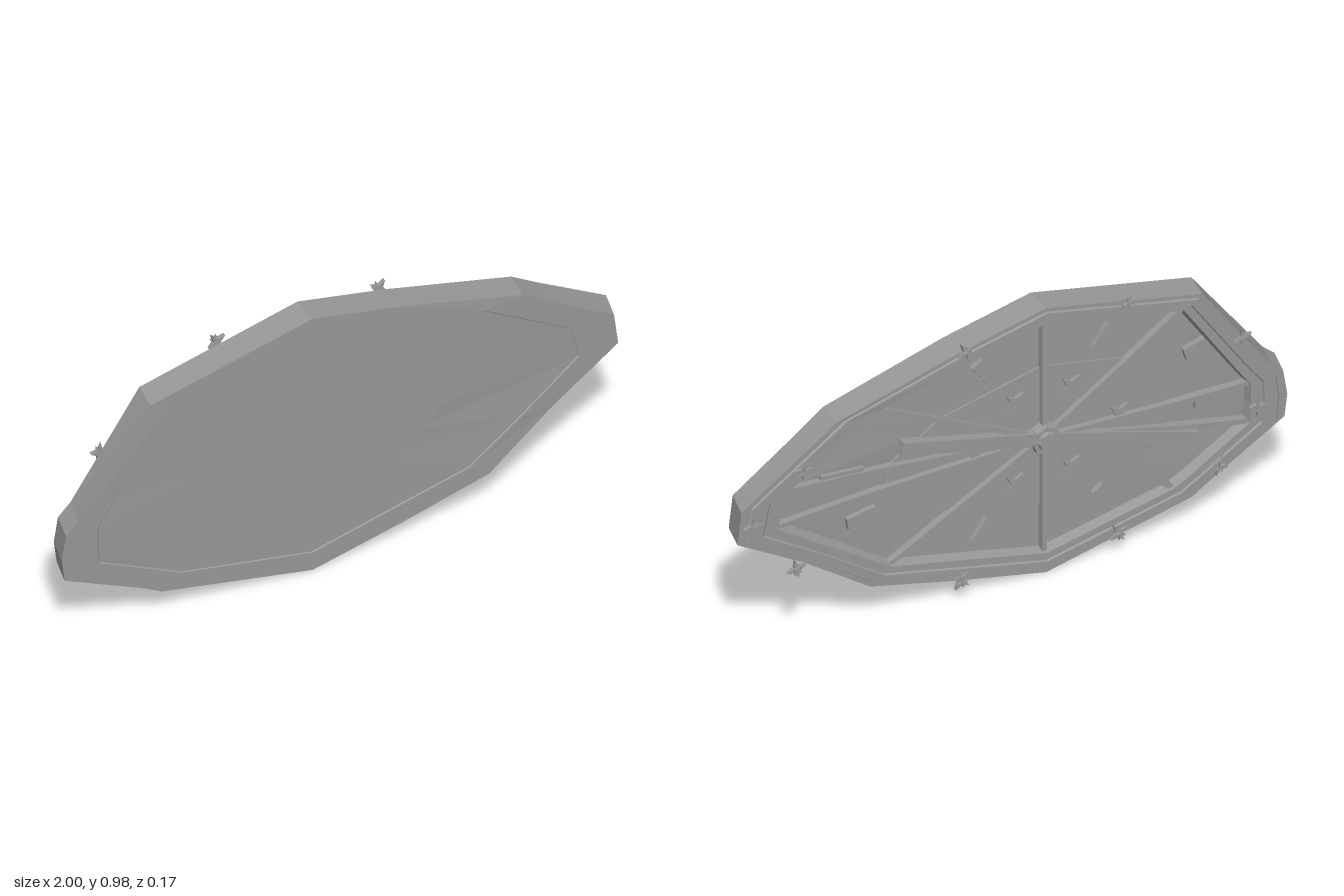
import * as THREE from 'three';

const HUB = [-0.11, 0.49];
// clockwise pairs: outer rim x, y and matching inner panel edge x, y
const EDGE = [
  [-0.11, 0.98, -0.11, 0.92], [0.20, 0.915, 0.19, 0.855], [0.63, 0.80, 0.49, 0.79],
  [0.72, 0.74, 0.58, 0.735], [0.96, 0.59, 0.80, 0.60], [0.975, 0.475, 0.83, 0.48],
  [0.74, 0.325, 0.63, 0.335], [0.51, 0.15, 0.44, 0.20], [0.20, 0.07, 0.16, 0.135],
  [-0.11, 0, -0.11, 0.07], [-0.64, 0.11, -0.57, 0.16], [-0.71, 0.15, -0.65, 0.20],
  [-0.99, 0.29, -0.86, 0.31], [-1.0, 0.37, -0.866, 0.38], [-0.985, 0.46, -0.865, 0.45],
  [-0.94, 0.50, -0.80, 0.54], [-0.68, 0.85, -0.61, 0.81],
];
const CORNERS = [0, 2, 4, 5, 7, 9, 10, 12, 14, 16];

// depth of the front surface along the width
const CURVE = [[-1.1, 0.09], [-1, 0.085], [-0.68, 0.067], [-0.11, 0.063], [0.51, 0.06], [0.63, 0.055], [0.97, 0.035], [1.1, 0.027]];
function frontZ(x) {
  for (let i = 1; i < CURVE.length; i++) {
    const [x0, z0] = CURVE[i - 1], [x1, z1] = CURVE[i];
    if (x <= x1) return z0 + (z1 - z0) * (x - x0) / (x1 - x0);
  }
  return 0.03;
}

// bends a flat part (front at z = 0, back at z = -0.1) along the curve
function bend(geometry) {
  const g = geometry.index ? geometry.toNonIndexed() : geometry;
  const p = g.attributes.position;
  for (let i = 0; i < p.count; i++) {
    const x = p.getX(i), z = p.getZ(i);
    const lean = 0.025 * THREE.MathUtils.clamp((Math.abs(x) - 0.4) / 0.5, 0, 1);
    p.setXYZ(i, x - lean * z / 0.1, p.getY(i), z + frontZ(x));
  }
  g.computeVertexNormals();
  return g;
}

// ring at t: 1 = outer rim, 0 = panel edge, -1 = hub
function ring(t, z) {
  return EDGE.map(([ox, oy, ix, iy]) => t >= 0
    ? [ix + (ox - ix) * t, iy + (oy - iy) * t, z]
    : [ix + (HUB[0] - ix) * -t, iy + (HUB[1] - iy) * -t, z]);
}

function loft(rings) {
  const n = EDGE.length, index = [];
  for (let r = 0; r < rings.length - 1; r++) {
    for (let j = 0; j < n; j++) {
      const a = r * n + j, b = r * n + (j + 1) % n;
      index.push(a, b, a + n, b, b + n, a + n);
    }
  }
  const g = new THREE.BufferGeometry();
  g.setAttribute('position', new THREE.Float32BufferAttribute(rings.flat(2), 3));
  g.setIndex(index);
  return g;
}

// straight bar between two points, from depth z0 (front) to z1 (back)
function bar(a, b, width, z0, z1) {
  const dx = b[0] - a[0], dy = b[1] - a[1];
  const g = new THREE.BoxGeometry(Math.hypot(dx, dy), width, z0 - z1, 8, 1, 1);
  g.rotateZ(Math.atan2(dy, dx));
  g.translate((a[0] + b[0]) / 2, (a[1] + b[1]) / 2, (z0 + z1) / 2);
  return g;
}

// four-pointed stud with a small raised core
function star(x, y, z, radius, angle) {
  const shape = new THREE.Shape();
  for (let i = 0; i < 8; i++) {
    const r = i % 2 ? radius * 0.36 : radius, a = angle + i * Math.PI / 4;
    shape[i ? 'lineTo' : 'moveTo'](r * Math.cos(a), r * Math.sin(a));
  }
  const g = new THREE.ExtrudeGeometry(shape, { depth: 0.014, bevelEnabled: false });
  return g.translate(x, y, z - 0.014);
}

export function createModel() {
  const model = new THREE.Group();
  const grey = new THREE.MeshStandardMaterial({ color: 0x999999, flatShading: true });
  grey.name = 'metal grey';
  const add = (name, geometry) => {
    const mesh = new THREE.Mesh(bend(geometry), grey);
    mesh.name = name;
    model.add(mesh);
  };

  // plate: front panel, rim, stepped back ridge and recessed back
  add('plate', loft([
    ring(-1, -0.004), ring(-0.5, -0.004), ring(0, -0.004), ring(0.04, 0), ring(1, 0),
    ring(1, -0.1), ring(0.78, -0.1), ring(0.74, -0.108), ring(0.38, -0.108), ring(0.34, -0.1),
    ring(0, -0.1), ring(-0.02, -0.065), ring(-0.4, -0.065), ring(-0.4, -0.071), ring(-1, -0.071),
  ]));

  // ribs from the hub to each corner
  for (const i of CORNERS) add('rib', bar(HUB, EDGE[i].slice(2), 0.016, -0.05, -0.09));

  // hub
  for (const [r, z, h] of [[0.055, -0.085, 0.04], [0.035, -0.11, 0.012]]) {
    const g = new THREE.CylinderGeometry(r * 0.9, r, h, 8);
    g.rotateX(-Math.PI / 2).translate(HUB[0], HUB[1], z);
    add('hub', g);
  }

  // long cross beam through the hub
  add('beam', bar(HUB, [-0.66, 0.32], 0.045, -0.06, -0.1));
  add('beam', bar(HUB, [0.40, 0.62], 0.045, -0.06, -0.1));

  // small blocks pointing at the hub
  const blocks = [[0.60, 0.575, 0.15], [0.53, 0.40, 0.1], [0.10, 0.80, 0.09], [0.10, 0.21, 0.09],
    [-0.33, 0.20, 0.09], [-0.33, 0.79, 0.09], [-0.66, 0.64, 0.08], [-0.71, 0.43, 0.1]];
  for (const [x, y, length] of blocks) {
    const d = Math.hypot(x - HUB[0], y - HUB[1]);
    const ux = (x - HUB[0]) / d * length / 2, uy = (y - HUB[1]) / d * length / 2;
    add('block', bar([x - ux, y - uy], [x + ux, y + uy], 0.042, -0.06, -0.083));
  }

  // studs around the rim
  const studs = [[0.18, 0.92], [-0.39, 0.92], [-0.83, 0.645], [-0.89, 0.37], [-0.74, 0.20],
    [-0.36, 0.07], [0.20, 0.075], [0.77, 0.32], [0.92, 0.53], [0.74, 0.675]];
  for (const [x, y] of studs) {
    const angle = Math.atan2(y - HUB[1], x - HUB[0]);
    add('rimStud', star(x, y, -0.103, 0.034, angle));
    add('rimStudCore', star(x, y, -0.112, 0.018, angle + Math.PI / 4));
  }

  // studs around the hub
  for (const [dx, dy] of [[0.1, 0.16], [-0.1, 0.16], [0.24, 0.01], [-0.27, 0], [0.1, -0.14], [-0.1, -0.14]]) {
    add('innerStud', star(HUB[0] + dx, HUB[1] + dy, -0.068, 0.04, Math.PI / 4));
  }
  return model;
}
